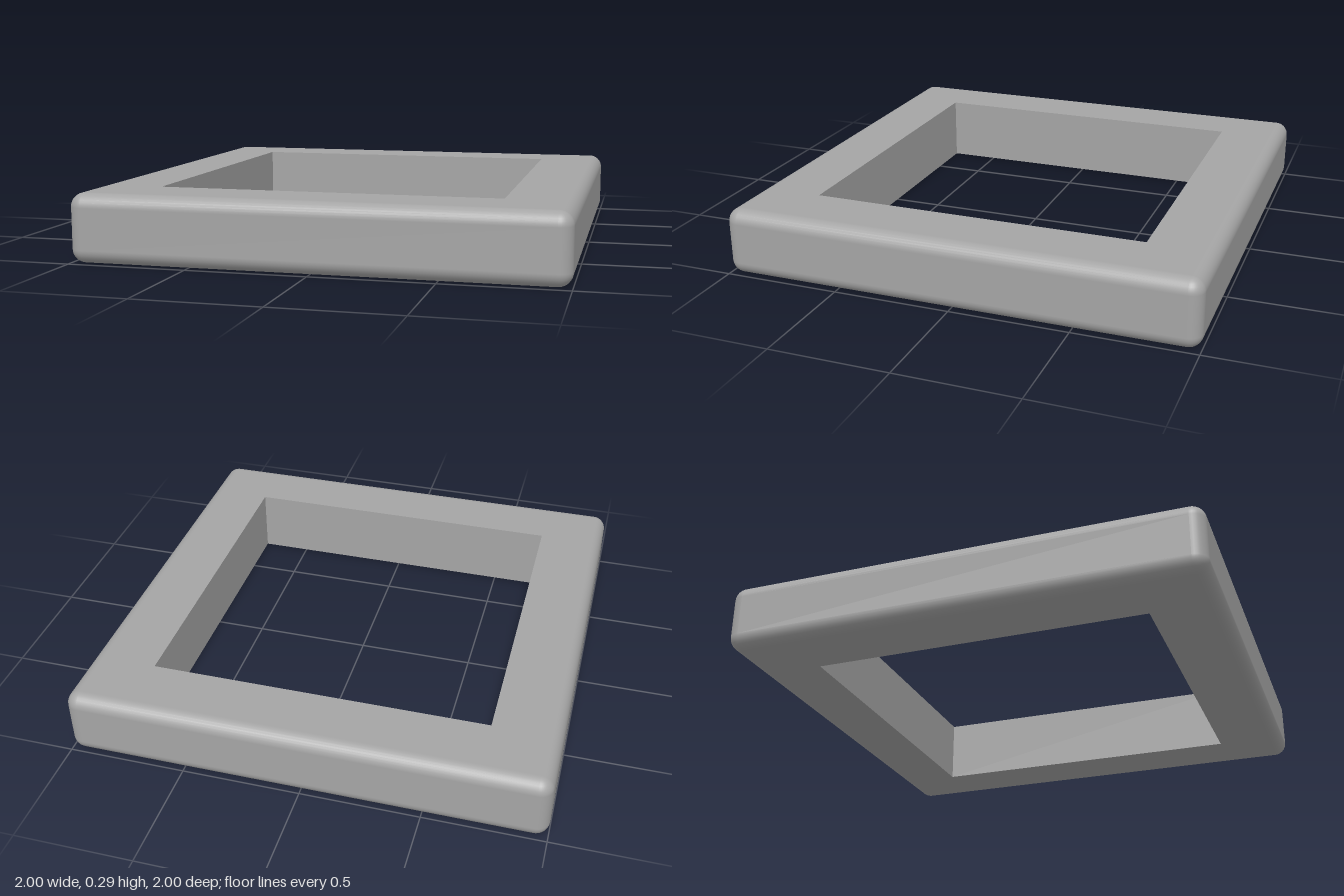
import * as THREE from 'three';

const H = 2 / 7;         // frame height
const HOLE = 5 / 7;      // half width of the opening
const R = 0.057;         // rounding of the outer edges
const STEPS = 8;         // segments per quarter round

// Sweeps a closed profile around a square. Each profile entry is
// [corner centre, corner radius, y, outward normal, upward normal].
function sweepSquare(profile) {
  const pos = [], nor = [], idx = [];
  const ring = 4 * (STEPS + 1);
  for (const [c, rad, y, nOut, nUp] of profile) {
    for (let k = 0; k < 4; k++) {
      const sx = k === 0 || k === 3 ? 1 : -1, sz = k < 2 ? 1 : -1;
      for (let s = 0; s <= STEPS; s++) {
        const a = (k + s / STEPS) * Math.PI / 2;
        pos.push(c * sx + rad * Math.cos(a), y, c * sz + rad * Math.sin(a));
        nor.push(nOut * Math.cos(a), nUp, nOut * Math.sin(a));
      }
    }
  }
  // Add a triangle unless it has collapsed at a sharp corner
  const tri = new THREE.Triangle();
  const add = (...t) => {
    const v = t.map(i => new THREE.Vector3().fromArray(pos, i * 3));
    if (tri.set(...v).getArea() > 1e-9) idx.push(...t);
  };
  for (let j = 0; j < profile.length - 1; j++) {
    for (let i = 0; i < ring; i++) {
      const a = j * ring + i, b = j * ring + (i + 1) % ring;
      add(a, a + ring, b);
      add(b, a + ring, b + ring);
    }
  }
  const g = new THREE.BufferGeometry();
  g.setAttribute('position', new THREE.Float32BufferAttribute(pos, 3));
  g.setAttribute('normal', new THREE.Float32BufferAttribute(nor, 3));
  g.setIndex(idx);
  return g;
}

export function createModel() {
  const group = new THREE.Group();
  group.name = 'squareFrame';

  // Flat underside, from the opening outward
  const profile = [[HOLE, 0, 0, 0, -1]];
  // Lower rounding, outer side and upper rounding
  for (const [y, start] of [[R, -Math.PI / 2], [H - R, 0]]) {
    for (let s = 0; s <= STEPS; s++) {
      const a = start + s / STEPS * Math.PI / 2;
      profile.push([1 - R, R * Math.cos(a), y + R * Math.sin(a), Math.cos(a), Math.sin(a)]);
    }
  }
  // Flat top, then the straight wall of the opening with sharp edges
  profile.push([HOLE, 0, H, 0, 1], [HOLE, 0, H, -1, 0], [HOLE, 0, 0, -1, 0]);

  const frame = new THREE.Mesh(
    sweepSquare(profile),
    new THREE.MeshStandardMaterial({ color: 0xa5a5a5 })
  );
  frame.name = 'frame';
  group.add(frame);
  return group;
}
